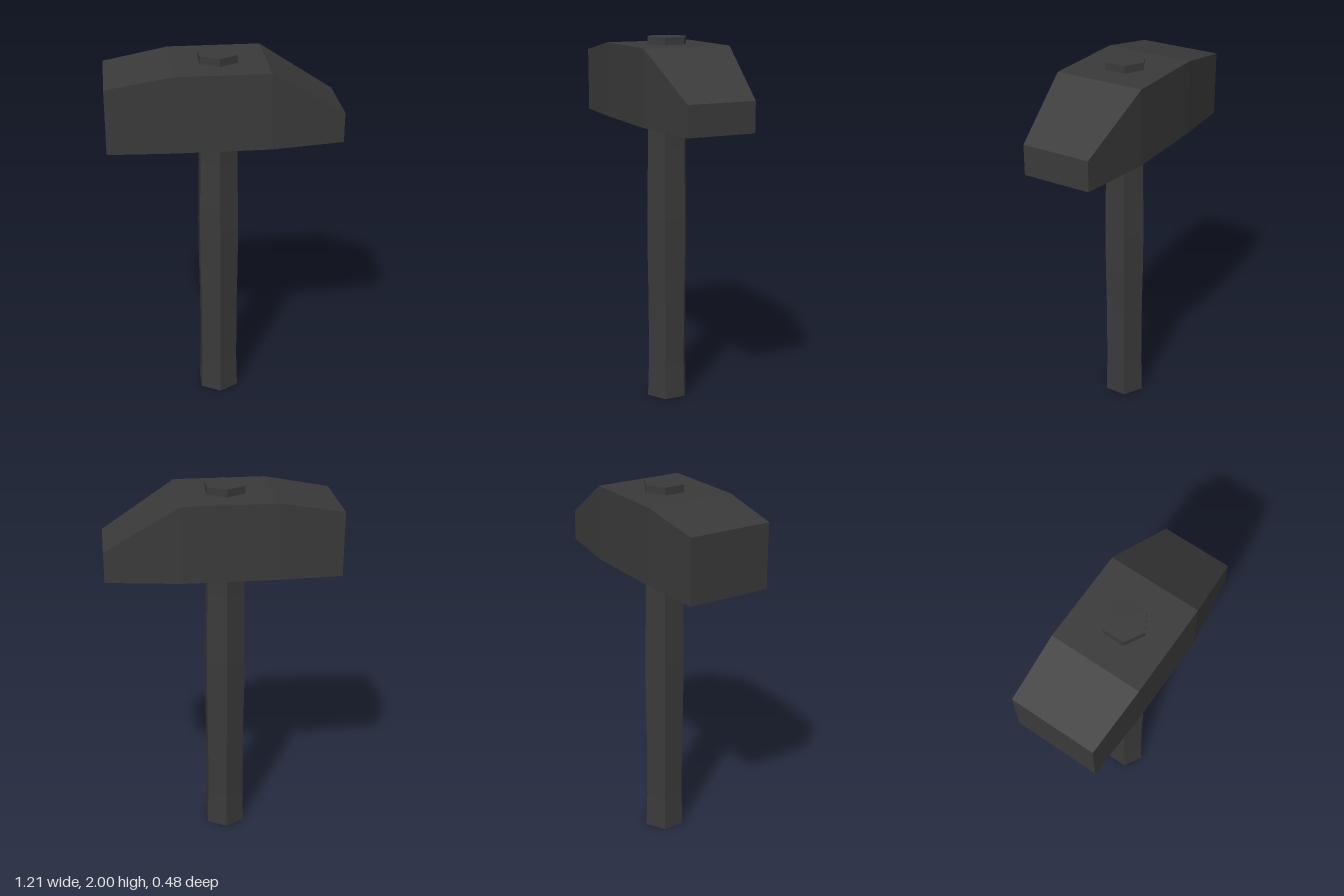
import * as THREE from 'three';

export function createModel() {
  const model = new THREE.Group();
  model.name = 'hammer';
  const darkGrey = new THREE.MeshStandardMaterial({ color: 0x3a3a3a, flatShading: true });
  darkGrey.name = 'dark grey';

  // Handle: six-sided shaft with a swell in the grip and a flared foot
  const profile = [
    [0, 0], [0.119, 0], [0.113, 0.2], [0.113, 0.55], [0.118, 0.82],
    [0.119, 1.03], [0.117, 1.16], [0.1125, 1.42], [0.1125, 2], [0, 2],
  ].map(([r, y]) => new THREE.Vector2(r, y));
  const handle = new THREE.Mesh(new THREE.LatheGeometry(profile, 6), darkGrey);
  handle.name = 'handle';
  handle.position.x = -0.025;
  model.add(handle);

  // Head: box shaped by four cross-sections [x, top, half depth]
  const base = 1.56;
  const sections = [
    [-0.605, 1.9, 0.225], [-0.265, 1.96, 0.242],
    [0.22, 1.96, 0.242], [0.605, 1.72, 0.185],
  ];
  const headGeometry = new THREE.BoxGeometry(3, 1, 1, 3, 1, 1);
  const pos = headGeometry.attributes.position;
  for (let i = 0; i < pos.count; i++) {
    const [x, top, half] = sections[Math.round(pos.getX(i) + 1.5)];
    pos.setXYZ(i, x, pos.getY(i) > 0 ? top : base, Math.sign(pos.getZ(i)) * half);
  }
  headGeometry.computeVertexNormals();
  const head = new THREE.Mesh(headGeometry, darkGrey);
  head.name = 'head';
  model.add(head);

  return model;
}
